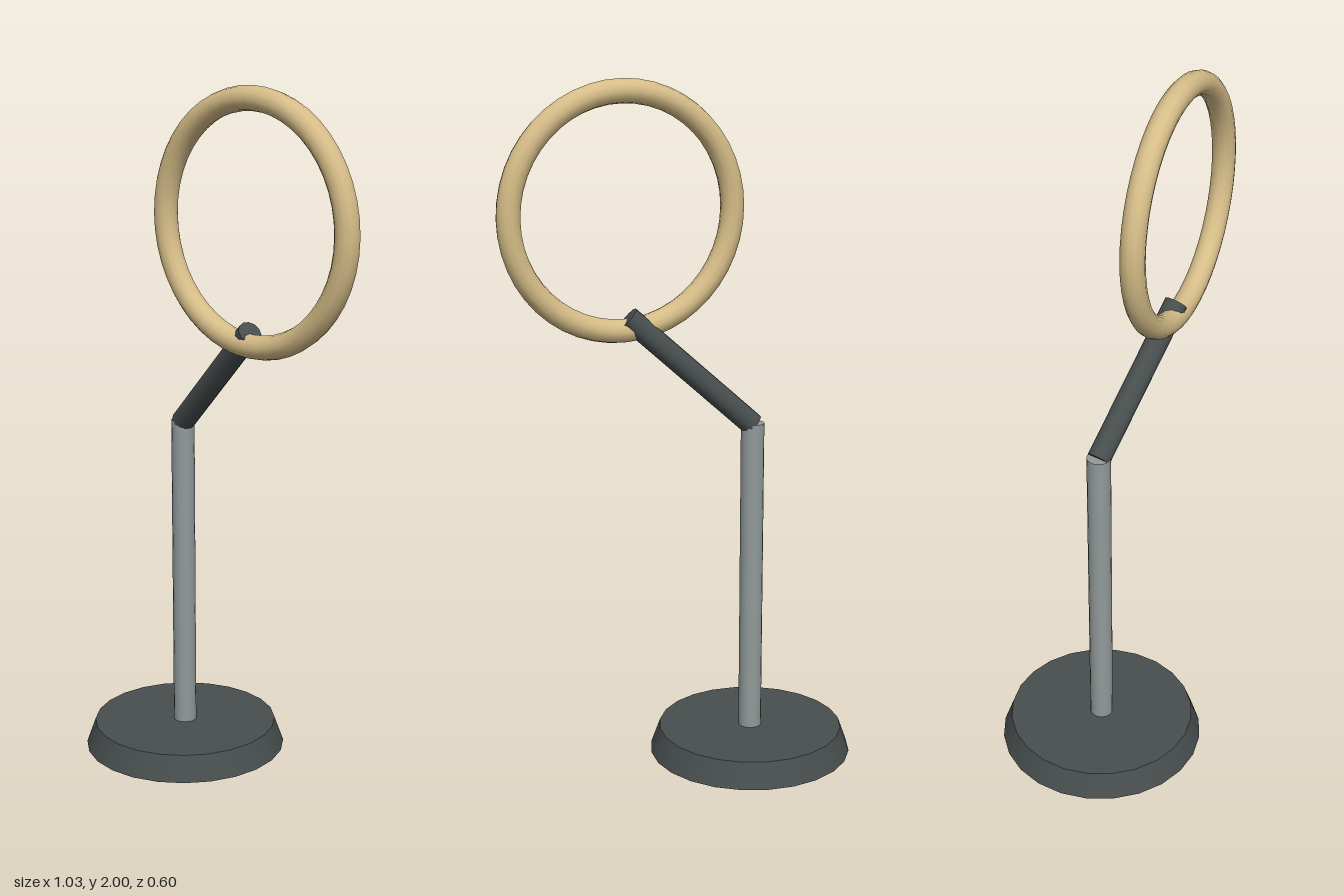
import * as THREE from 'three';

const material = (name, color) => {
  const m = new THREE.MeshStandardMaterial({ color });
  m.name = name;
  return m;
};

export function createModel() {
  const group = new THREE.Group();
  const dark = material('darkGrey', 0x484e4e);
  const steel = material('steelGrey', 0x929a9a);
  const tan = material('tan', 0xd6bd88);

  const add = (name, geometry, mat, x, y, z) => {
    const mesh = new THREE.Mesh(geometry, mat);
    mesh.name = name;
    mesh.position.set(x, y, z);
    group.add(mesh);
    return mesh;
  };

  const poleX = -0.215;

  // Tapered round foot and upright pole
  add('base', new THREE.CylinderGeometry(0.273, 0.3, 0.075, 24), dark, poleX, 0.0375, 0);
  add('pole', new THREE.CylinderGeometry(0.034, 0.034, 0.95, 16), steel, poleX, 0.54, 0);

  // Slanted arm from the top of the pole to the ring
  const start = new THREE.Vector3(poleX, 1.01, 0);
  const end = new THREE.Vector3(0.135, 1.337, 0.084);
  const direction = end.clone().sub(start);
  const middle = start.clone().add(end).multiplyScalar(0.5);
  const arm = add('arm', new THREE.CylinderGeometry(0.034, 0.034, direction.length(), 12),
    dark, middle.x, middle.y, middle.z);
  arm.quaternion.setFromUnitVectors(new THREE.Vector3(0, 1, 0), direction.normalize());

  // Upright hoop facing the front
  add('ring', new THREE.TorusGeometry(0.333, 0.034, 12, 48), tan, 0.147, 1.633, 0.088);

  return group;
}
